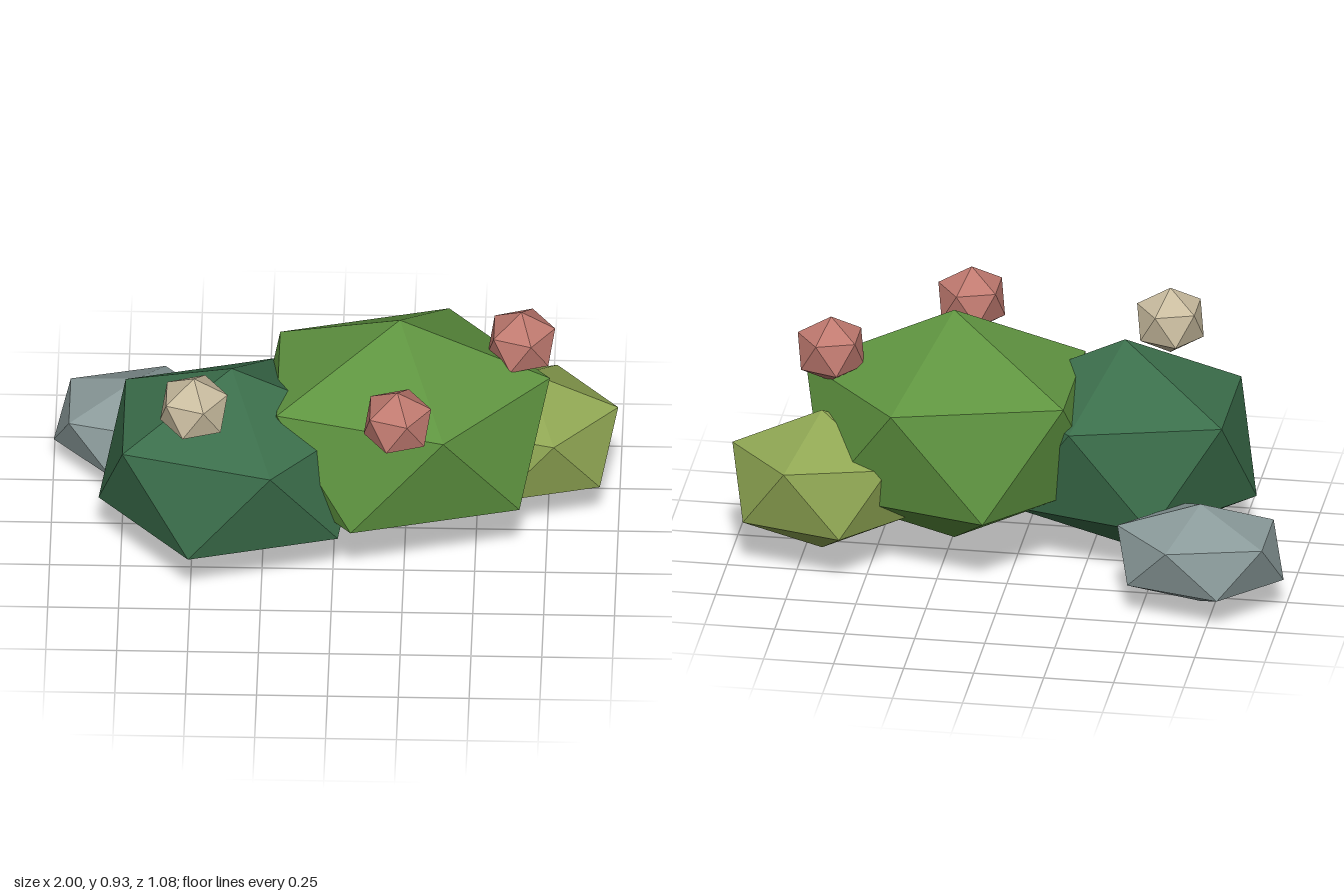
import * as THREE from 'three';

// Unit icosahedron standing on a vertex, with two five-sided rings
function icosahedron() {
  const h = 1 / Math.sqrt(5), r = 2 * h;
  const ring = (k, half, y) => {
    const a = (k + half) * Math.PI * 2 / 5;
    return [r * Math.cos(a), y, r * Math.sin(a)];
  };
  const up = (k) => ring(k, 0, h);
  const low = (k) => ring(k, 0.5, -h);
  const points = [];
  for (let k = 0; k < 5; k++) {
    points.push([0, 1, 0], up(k + 1), up(k));
    points.push(up(k), up(k + 1), low(k));
    points.push(low(k), low(k - 1), up(k));
    points.push([0, -1, 0], low(k), low(k + 1));
  }
  const geometry = new THREE.BufferGeometry();
  geometry.setAttribute('position', new THREE.Float32BufferAttribute(points.flat(), 3));
  return geometry;
}

function material(name, color) {
  const m = new THREE.MeshStandardMaterial({ color, flatShading: true });
  m.name = name;
  return m;
}

export function createModel() {
  const group = new THREE.Group();
  group.name = 'floweringBush';

  const darkGreen = material('dark green', 0x3b6e4b);
  const green = material('leaf green', 0x5f9440);
  const olive = material('olive green', 0x8fa653);
  const grey = material('stone grey', 0x8a9a9a);
  const pink = material('flower pink', 0xc07a70);
  const cream = material('flower cream', 0xc9bc9f);

  const blob = (name, mat, centre, radii) => {
    const geometry = icosahedron();
    geometry.scale(...radii);
    geometry.computeVertexNormals();
    const mesh = new THREE.Mesh(geometry, mat);
    mesh.name = name;
    mesh.position.set(...centre);
    group.add(mesh);
  };

  // Foliage clumps
  blob('mainFoliage', green, [0.23, 0.483, 0.017], [0.592, 0.443, 0.473]);
  blob('darkFoliage', darkGreen, [-0.36, 0.398, 0.143], [0.525, 0.398, 0.423]);
  blob('smallFoliage', olive, [0.676, 0.313, -0.15], [0.358, 0.268, 0.288]);

  // Stone
  blob('stone', grey, [-0.703, 0.208, -0.325], [0.332, 0.189, 0.253]);

  // Blossoms
  const bloom = [0.133, 0.125, 0.136];
  blob('frontBlossom', pink, [0.232, 0.782, 0.421], bloom);
  blob('leftBlossom', pink, [0.657, 0.782, -0.066], bloom);
  blob('rightBlossom', cream, [-0.488, 0.782, 0.356], bloom);

  return group;
}
